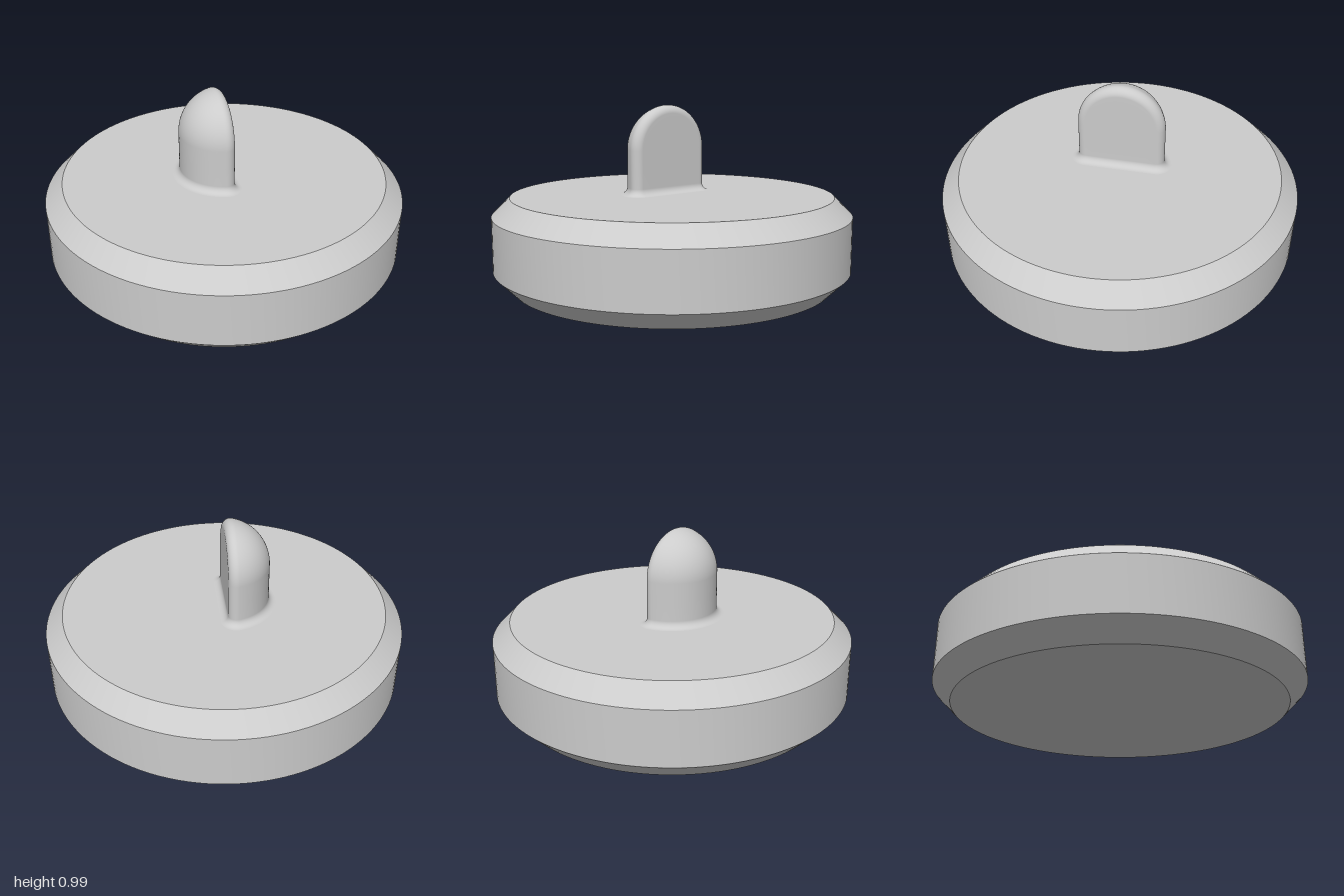
import * as THREE from 'three';
import { mergeVertices, toCreasedNormals } from 'three/addons/utils/BufferGeometryUtils.js';

const BASE_TOP = 0.5;
const R = 0.25;        // knob radius
const EDGE = 0.045;    // rounding around the flat face
const FLARE = 0.04;    // fillet where the knob meets the base
const DOME_Y = 0.75;   // height where the stem turns into the dome

// Half of the D-shaped section, from the middle of the round back to the middle of the flat face
function halfSection() {
  const pts = [];
  const cr = Math.sqrt((R - EDGE) ** 2 - EDGE ** 2);
  const join = Math.atan2(cr, -EDGE);
  const arc = (cx, cz, r, from, to, n, first) => {
    for (let i = first; i <= n; i++) {
      const a = from + (to - from) * i / n, nx = Math.cos(a), nz = Math.sin(a);
      pts.push({ x: cx + r * nx, z: cz + r * nz, nx, nz });
    }
  };
  arc(0, 0, R, Math.PI, join, 24, 0);
  arc(-EDGE, cr, EDGE, join, 0, 12, 1);
  for (let i = 1; i <= 4; i++) pts.push({ x: 0, z: cr * (1 - i / 4), nx: 1, nz: 0 });
  pts[0].z = 0;
  pts[0].nz = 0;
  return pts;
}

// Sweep the half section up one side, over the dome and down the other side
function knobGeometry() {
  const section = halfSection();
  const side = [];
  for (let i = 8; i >= 0; i--) {
    const t = i / 8 * Math.PI / 2;
    side.push({ y: BASE_TOP + FLARE * (1 - Math.sin(t)), d: FLARE * (1 - Math.cos(t)), a: 0 });
  }
  side.push({ y: (BASE_TOP + FLARE + DOME_Y) / 2, d: 0, a: 0 });
  const rows = [...side];
  for (let i = 0; i <= 48; i++) rows.push({ y: DOME_Y, d: 0, a: Math.PI * i / 48 });
  for (const s of side.reverse()) rows.push({ ...s, a: Math.PI });

  const pos = [], index = [], n = section.length;
  rows.forEach(({ y, d, a }, k) => {
    section.forEach((p, j) => {
      const r = p.z + p.nz * d;
      pos.push(p.x + p.nx * d, y + r * Math.sin(a), r * Math.cos(a));
      if (k < rows.length - 1 && j < n - 1) {
        const q = k * n + j;
        index.push(q, q + 1, q + n, q + 1, q + n + 1, q + n);
      }
    });
  });
  const g = new THREE.BufferGeometry();
  g.setAttribute('position', new THREE.Float32BufferAttribute(pos, 3));
  g.setIndex(index);
  const merged = mergeVertices(g, 1e-5);
  merged.computeVertexNormals();
  return merged;
}

export function createModel() {
  const group = new THREE.Group();
  const material = new THREE.MeshStandardMaterial({ color: 0xcccccc });

  // Round base with chamfered rims
  const profile = [[0, 0], [0.9, 0], [1, 0.1], [1, 0.4], [0.9, BASE_TOP], [0, BASE_TOP]]
    .map(([x, y]) => new THREE.Vector2(x, y));
  const base = new THREE.Mesh(toCreasedNormals(new THREE.LatheGeometry(profile, 128), 0.5), material);
  base.name = 'base';

  // Half-round domed knob with a flat face towards +x
  const knob = new THREE.Mesh(knobGeometry(), material);
  knob.name = 'knob';

  group.add(base, knob);
  return group;
}
